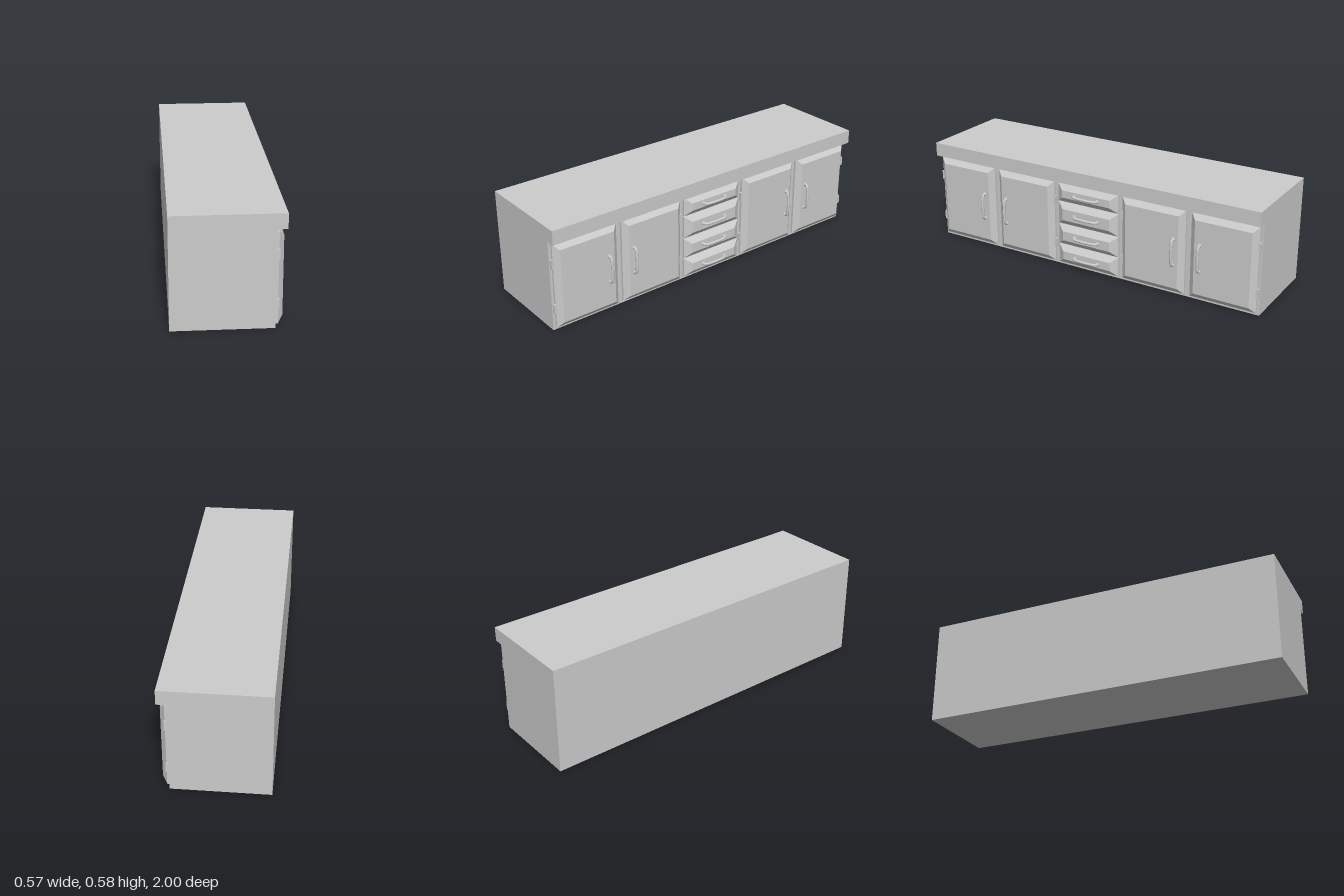
import * as THREE from 'three';

const flat = new THREE.MeshStandardMaterial({ color: 0xcccccc, flatShading: true });
const smooth = new THREE.MeshStandardMaterial({ color: 0xcccccc });

const FACE_X = 0.215;  // cabinet front plane
const PANEL_X = 0.253; // raised face of doors and drawers

function add(parent, name, geometry, material = flat) {
  const mesh = new THREE.Mesh(geometry, material);
  mesh.name = name;
  parent.add(mesh);
  return mesh;
}

// Slab with a short straight edge, then a bevel up to a smaller raised face
function panelGeometry(height, width, insetY, insetZ) {
  const g = new THREE.BoxGeometry(2, height, width, 2, 1, 1);
  const p = g.attributes.position;
  const levels = [FACE_X, 0.228, PANEL_X];
  for (let i = 0; i < p.count; i++) {
    const level = Math.round(p.getX(i) + 1);
    const inset = level === 2 ? 1 : 0;
    p.setXYZ(i, levels[level],
      p.getY(i) - Math.sign(p.getY(i)) * insetY * inset,
      p.getZ(i) - Math.sign(p.getZ(i)) * insetZ * inset);
  }
  g.computeVertexNormals();
  return g;
}

// Bowed pull handle running along y, centred on the origin, with round feet
function makeHandle(name) {
  const handle = new THREE.Group();
  handle.name = name;
  const path = new THREE.CatmullRomCurve3([
    [-0.002, -0.073], [0.009, -0.072], [0.017, -0.063], [0.021, -0.04],
    [0.023, 0], [0.021, 0.04], [0.017, 0.063], [0.009, 0.072], [-0.002, 0.073],
  ].map(([x, y]) => new THREE.Vector3(x, y, 0)));
  add(handle, 'grip', new THREE.TubeGeometry(path, 40, 0.0073, 10), smooth);
  for (const s of [-1, 1]) {
    const foot = add(handle, 'handleFoot', new THREE.CylinderGeometry(0.0085, 0.011, 0.008, 12), smooth);
    foot.rotation.z = -Math.PI / 2;
    foot.position.set(0.003, s * 0.073, 0);
  }
  return handle;
}

export function createModel() {
  const model = new THREE.Group();
  model.name = 'sideboard';

  // Carcass and overhanging worktop as one side profile, extruded along z
  const profile = new THREE.Shape([
    [-0.285, 0], [FACE_X, 0], [FACE_X, 0.5], [0.265, 0.5], [0.265, 0.577], [-0.285, 0.577],
  ].map(([x, y]) => new THREE.Vector2(x, y)));
  const body = new THREE.ExtrudeGeometry(profile, { depth: 2, bevelEnabled: false });
  add(model, 'cabinetBody', body.translate(0, 0, -1));

  // Two mirrored pairs of doors: centre, handle and hinge positions along z
  const doors = [
    { z: 0.801, handleZ: 0.676, hingeZ: 0.986 },
    { z: 0.399, handleZ: 0.526, hingeZ: 0.214 },
  ];
  for (const side of [-1, 1]) {
    for (const d of doors) {
      const door = new THREE.Group();
      door.name = 'door';
      model.add(door);
      add(door, 'doorPanel', panelGeometry(0.468, 0.37, 0.03, 0.03)).position.set(0, 0.251, side * d.z);
      const handle = makeHandle('doorHandle');
      handle.position.set(PANEL_X, 0.251, side * d.handleZ);
      door.add(handle);
      for (const y of [0.125, 0.375]) {
        add(door, 'hinge', new THREE.BoxGeometry(0.017, 0.05, 0.018))
          .position.set(FACE_X + 0.0085, y, side * d.hingeZ);
      }
    }
  }

  // Central stack of drawers: bottom, top and handle heights
  const drawers = [
    [0.017, 0.126, 0.069], [0.13, 0.246, 0.19], [0.25, 0.377, 0.315], [0.381, 0.485, 0.433],
  ];
  for (const [bottom, top, handleY] of drawers) {
    const drawer = new THREE.Group();
    drawer.name = 'drawer';
    model.add(drawer);
    add(drawer, 'drawerPanel', panelGeometry(top - bottom, 0.375, 0.031, 0.04))
      .position.y = (bottom + top) / 2;
    const handle = makeHandle('drawerHandle');
    handle.rotation.x = Math.PI / 2;
    handle.position.set(PANEL_X, handleY, 0);
    drawer.add(handle);
  }

  return model;
}
